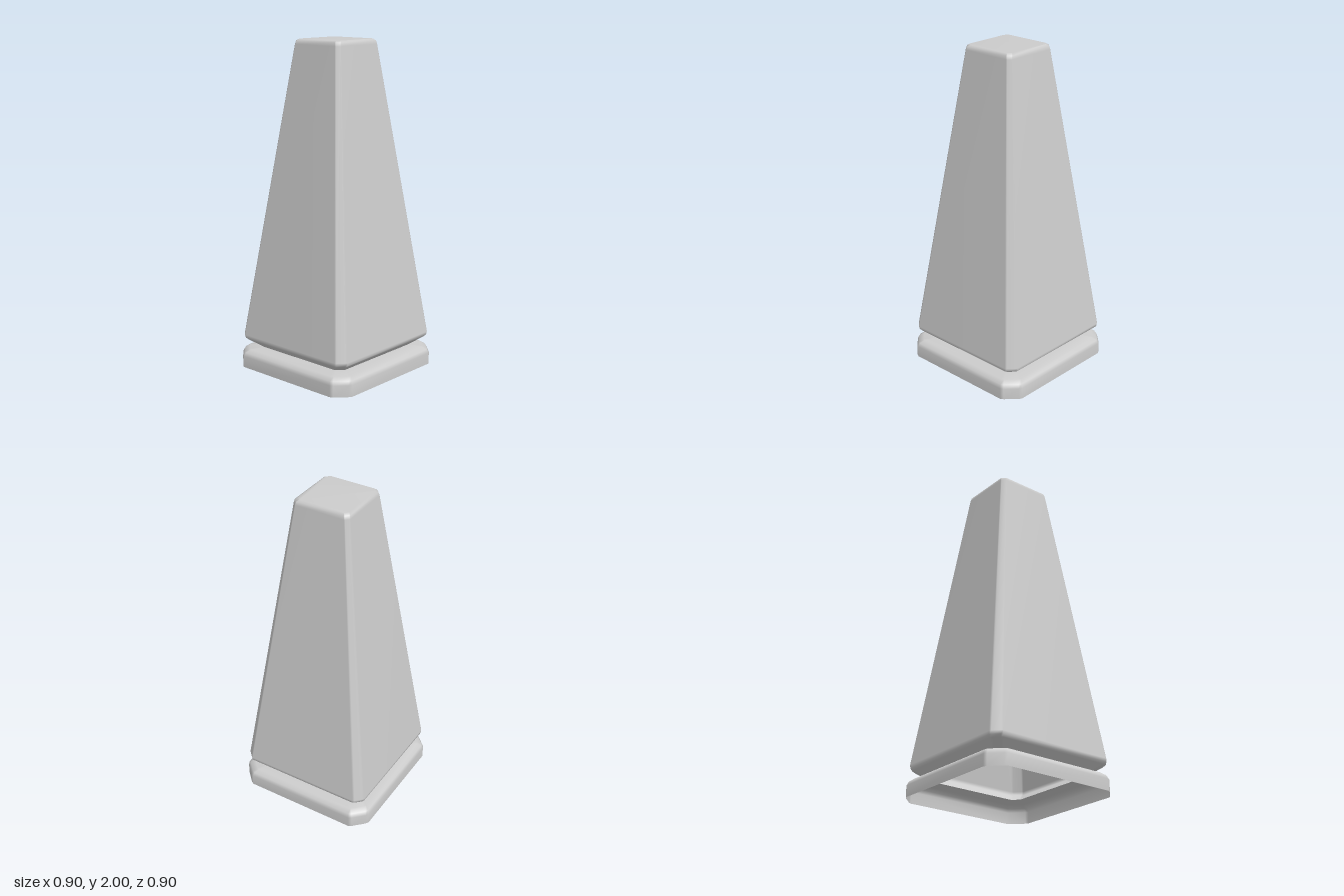
import * as THREE from 'three';

// One square cross-section with cut, slightly eased corners
function ring(half, cut, y) {
  const corner = [
    [half, half - 1.1 * cut],
    [half - 0.12 * cut, half - 0.88 * cut],
    [half - 0.88 * cut, half - 0.12 * cut],
    [half - 1.1 * cut, half],
  ];
  const points = [];
  for (let k = 0; k < 4; k++) {
    const c = Math.round(Math.cos(k * Math.PI / 2));
    const s = Math.round(Math.sin(k * Math.PI / 2));
    for (const [x, z] of corner) points.push(c * x - s * z, y, s * x + c * z);
  }
  return points;
}

// Skin a stack of [half width, corner cut, height] sections, optionally closing the top
function loft(sections, closeTop) {
  const n = 16;
  const positions = sections.flatMap(([half, cut, y]) => ring(half, cut, y));
  const index = [];
  for (let r = 0; r < sections.length - 1; r++) {
    for (let i = 0; i < n; i++) {
      const a = r * n + i;
      const b = r * n + (i + 1) % n;
      index.push(a, a + n, b, b, a + n, b + n);
    }
  }
  if (closeTop) {
    const last = (sections.length - 1) * n;
    for (let i = 1; i < n - 1; i++) index.push(last, last + i + 1, last + i);
  }

  const geometry = new THREE.BufferGeometry();
  geometry.setAttribute('position', new THREE.Float32BufferAttribute(positions, 3));
  geometry.setIndex(index);
  geometry.computeVertexNormals();
  return geometry;
}

export function createModel() {
  const group = new THREE.Group();
  group.name = 'obelisk';
  const material = new THREE.MeshStandardMaterial({ color: 0xcccccc, side: THREE.DoubleSide });

  const add = (name, sections, closeTop) => {
    const mesh = new THREE.Mesh(loft(sections, closeTop), material);
    mesh.name = name;
    group.add(mesh);
  };

  // Plinth: open shell with a bevelled top edge, running in to the neck
  add('plinth', [
    [0.45, 0.085, 0],
    [0.45, 0.085, 0.07],
    [0.44, 0.082, 0.092],
    [0.415, 0.075, 0.11],
    [0.335, 0.04, 0.115],
  ], false);

  // Shaft: hollow, with a flared foot, long taper and eased flat top
  add('shaft', [
    [0.335, 0.04, 0.115],
    [0.407, 0.045, 0.168],
    [0.42, 0.048, 0.18],
    [0.423, 0.048, 0.2],
    [0.182, 0.024, 1.97],
    [0.177, 0.024, 1.99],
    [0.163, 0.022, 2],
  ], true);

  return group;
}
